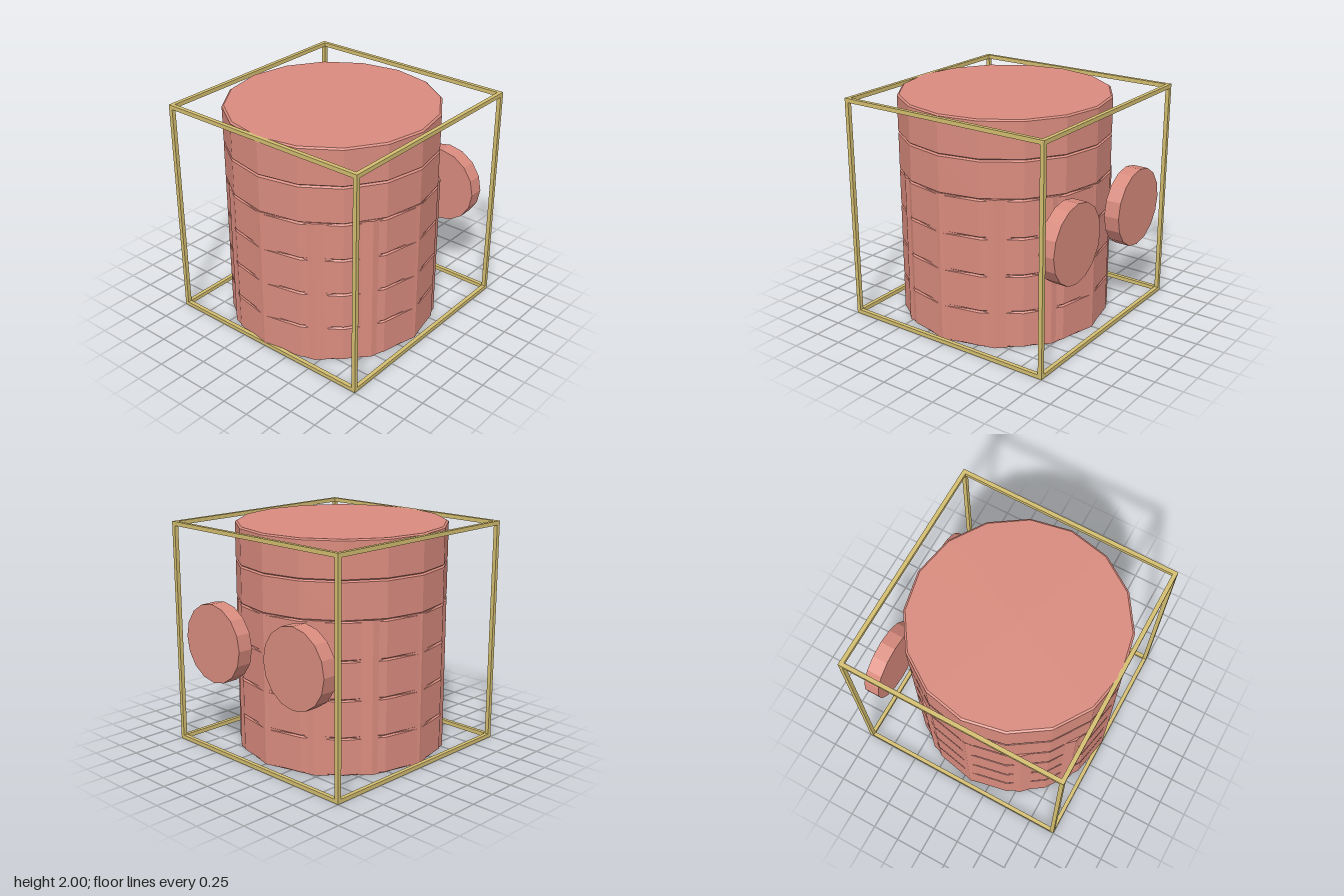
import * as THREE from 'three';

const salmon = new THREE.MeshStandardMaterial({ color: 0xd98b7e });
const brass = new THREE.MeshStandardMaterial({ color: 0xd4be70 });

function addMesh(parent, name, geometry, material, x, y, z) {
  const flat = geometry.index ? geometry.toNonIndexed() : geometry;
  flat.computeVertexNormals(); // faceted shading
  const mesh = new THREE.Mesh(flat, material);
  mesh.name = name;
  mesh.position.set(x, y, z);
  parent.add(mesh);
  return mesh;
}

export function createModel() {
  const model = new THREE.Group();
  model.name = 'framedDrum';
  const drumX = -0.07, radius = 0.93, bevel = 0.012;

  // Sixteen-sided drum: six rows separated by V-shaped grooves
  const rows = 6;
  const profile = [new THREE.Vector2(0, 0)];
  for (let i = 0; i < rows; i++) {
    const bottom = (i * 2) / rows, top = ((i + 1) * 2) / rows;
    profile.push(
      new THREE.Vector2(radius - 0.018, bottom),
      new THREE.Vector2(radius - 0.001, bottom + bevel),
      new THREE.Vector2(radius - 0.001, top - bevel)
    );
  }
  profile.push(new THREE.Vector2(radius - 0.018, 2), new THREE.Vector2(0, 2));
  addMesh(model, 'drum', new THREE.LatheGeometry(profile, 16), salmon, drumX, 0, 0);

  // Twelve-sided lower body whose corners show through the drum's faces
  const lowerHeight = 1.338;
  addMesh(model, 'lowerBody', new THREE.CylinderGeometry(radius + 0.001, radius + 0.001, lowerHeight, 12),
    salmon, drumX, lowerHeight / 2, 0);

  // Two discs on the side
  for (const side of [-1, 1]) {
    const disc = new THREE.CylinderGeometry(0.35, 0.35, 0.14, 16).rotateZ(-Math.PI / 2);
    addMesh(model, side > 0 ? 'frontDisc' : 'backDisc', disc, salmon, 0.93, 1, side * 0.5);
  }

  // Cube frame: twelve square bars
  const bar = 0.036, offset = 1 - bar / 2;
  const frame = new THREE.Group();
  frame.name = 'cubeFrame';
  frame.position.y = 1;
  for (const a of [-offset, offset]) {
    for (const b of [-offset, offset]) {
      addMesh(frame, 'widthBar', new THREE.BoxGeometry(2, bar, bar), brass, 0, a, b);
      addMesh(frame, 'uprightBar', new THREE.BoxGeometry(bar, 2, bar), brass, a, 0, b);
      addMesh(frame, 'depthBar', new THREE.BoxGeometry(bar, bar, 2), brass, a, b, 0);
    }
  }
  model.add(frame);
  return model;
}
